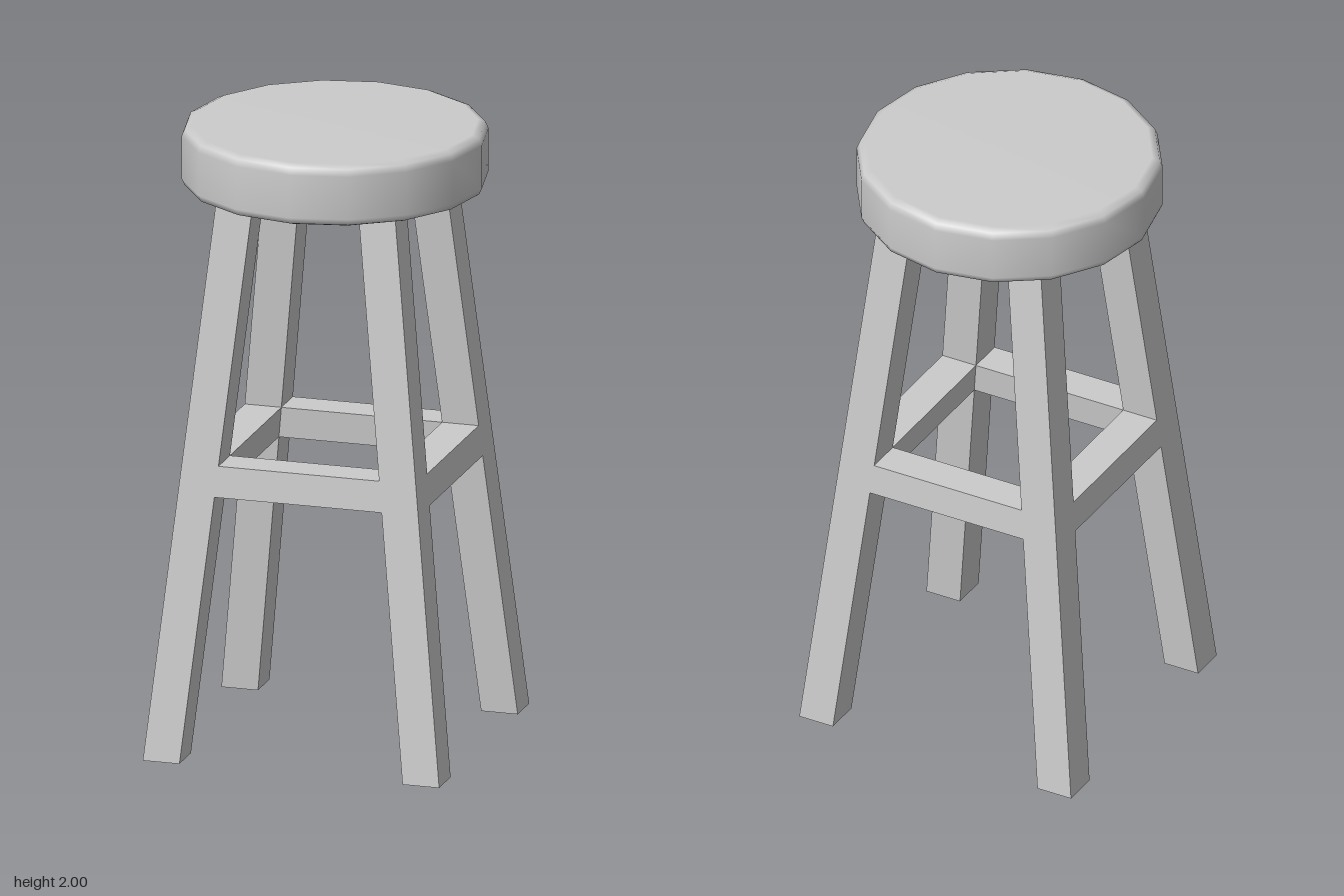
import * as THREE from 'three';

const SEAT_BOTTOM = 1.8;
const HALF = 0.06; // half the leg thickness

// centre line of a leg at height y
const legX = (y) => 0.426 - 0.192 * (y / SEAT_BOTTOM);
const legZ = (y) => 0.41 - 0.153 * (y / SEAT_BOTTOM);

export function createModel() {
  const stool = new THREE.Group();
  stool.name = 'stool';
  const material = new THREE.MeshStandardMaterial({ color: 0xcccccc });
  const flat = new THREE.MeshStandardMaterial({ color: 0xcccccc, flatShading: true });

  // a box from y0 to y1 whose corners (signs sx, sz) are placed by a rule
  function bar(name, y0, y1, place, parent) {
    const geometry = new THREE.BoxGeometry(2, 2, 2);
    const p = geometry.attributes.position;
    for (let i = 0; i < p.count; i++) {
      const y = p.getY(i) > 0 ? y1 : y0;
      const [x, z] = place(Math.sign(p.getX(i)), Math.sign(p.getZ(i)), y);
      p.setXYZ(i, x, y, z);
    }
    geometry.computeVertexNormals();
    const mesh = new THREE.Mesh(geometry, flat);
    mesh.name = name;
    parent.add(mesh);
  }

  // round cushion seat with softened rims
  const profile = [
    [0, 1.8], [0.45, 1.8], [0.473, 1.808], [0.482, 1.828],
    [0.482, 1.968], [0.473, 1.99], [0.45, 2], [0, 2],
  ].map(([r, y]) => new THREE.Vector2(r, y));
  const seat = new THREE.Mesh(new THREE.LatheGeometry(profile, 16), material);
  seat.name = 'seat';
  stool.add(seat);

  const frame = new THREE.Group();
  frame.name = 'frame';
  frame.position.z = -0.01;
  stool.add(frame);

  for (const side of [1, -1]) {
    const lr = side > 0 ? 'Left' : 'Right';
    // splayed legs, front and back
    for (const end of [1, -1]) {
      bar((end > 0 ? 'front' : 'back') + lr + 'Leg', 0, SEAT_BOTTOM + 0.01,
        (sx, sz, y) => [side * legX(y) + sx * HALF, end * legZ(y) + sz * HALF], frame);
    }
    // rails lean with the legs and sit flush with their faces
    bar(lr.toLowerCase() + 'Rail', 0.86, 0.96,
      (sx, sz, y) => [side * legX(y) + sx * HALF, sz * (legZ(y) - HALF)], frame);
    bar(side > 0 ? 'frontRail' : 'backRail', 0.86, 0.96,
      (sx, sz, y) => [sx * (legX(y) - HALF), side * legZ(y) + sz * HALF], frame);
  }
  return stool;
}
